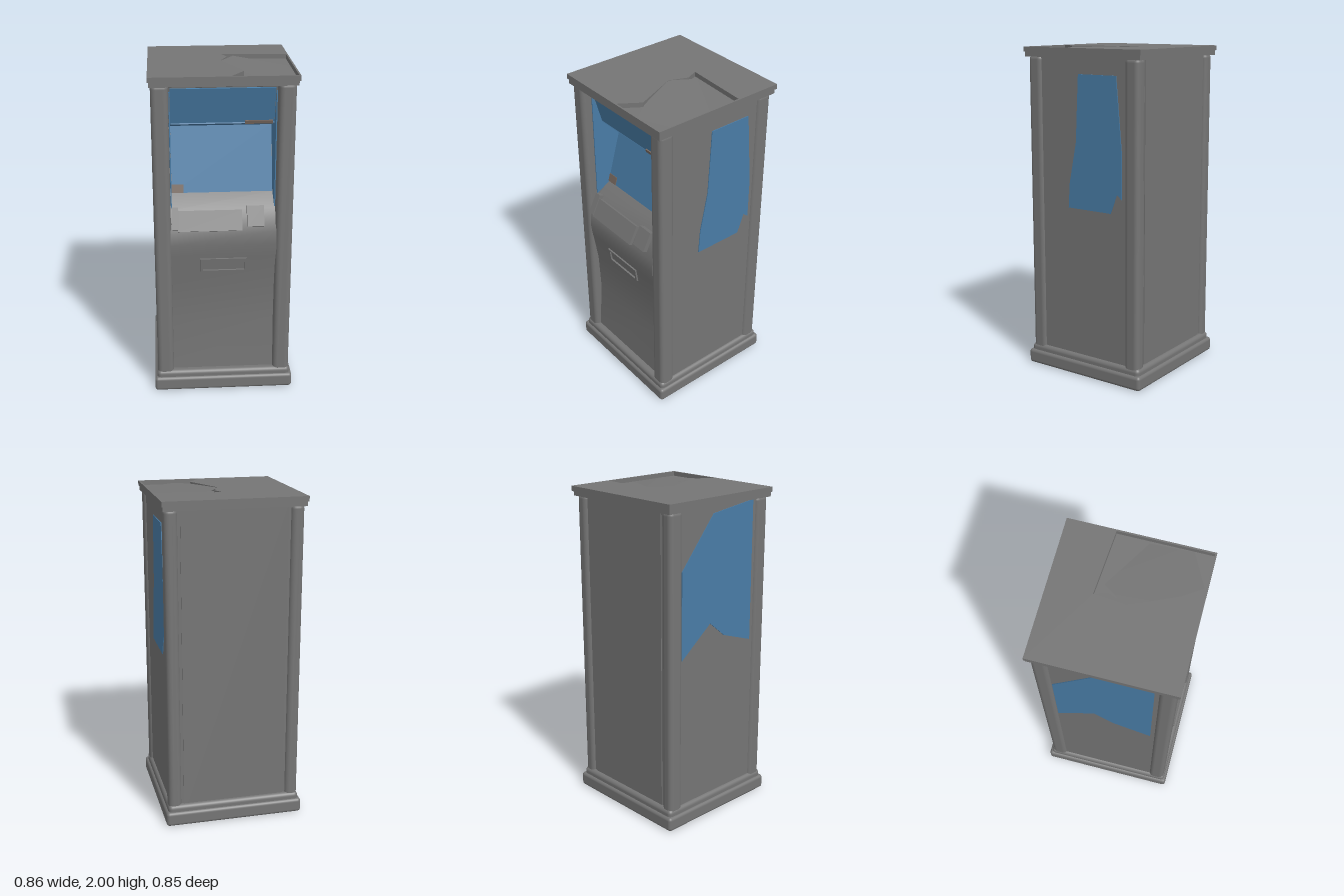
import * as THREE from 'three';
import { RoundedBoxGeometry } from 'three/addons/geometries/RoundedBoxGeometry.js';
import { toCreasedNormals } from 'three/addons/utils/BufferGeometryUtils.js';

const material = (name, color) => {
  const mat = new THREE.MeshStandardMaterial({ color, side: THREE.DoubleSide });
  mat.name = name;
  return mat;
};
const gray = material('cabinet gray', 0x757575);
const blue = material('screen blue', 0x497ca6);
const brown = material('trim brown', 0x77685f);

const outline = (pts) => pts.map(([a, b]) => new THREE.Vector2(a, b));

export function createModel() {
  const model = new THREE.Group();

  const add = (name, geo, mat, x = 0, y = 0, z = 0) => {
    const mesh = new THREE.Mesh(geo, mat);
    mesh.name = name;
    mesh.position.set(x, y, z);
    model.add(mesh);
    return mesh;
  };
  const rounded = (name, w, h, d, r, x, y, z) =>
    add(name, new RoundedBoxGeometry(w, h, d, 3, r), gray, x, y, z);

  // Outline in (z, y), extruded along x from x0 to x1, with gentle bends smoothed
  const sidePlate = (name, pts, x0, x1, mat) => {
    const geo = new THREE.ExtrudeGeometry(new THREE.Shape(outline(pts)), { depth: x1 - x0, bevelEnabled: false });
    geo.rotateY(-Math.PI / 2);
    return add(name, toCreasedNormals(geo, 0.45), mat, x1);
  };

  // Thin plate lying along the line from one (z, y) point to another
  const slopedPlate = (name, [z0, y0], [z1, y1], w, t, mat, x = 0) => {
    const len = Math.hypot(z1 - z0, y1 - y0);
    const mesh = add(name, new THREE.BoxGeometry(w, len, t), mat, x, (y0 + y1) / 2, (z0 + z1) / 2);
    mesh.rotation.x = Math.atan2(z1 - z0, y1 - y0);
    return mesh;
  };

  // Plinth
  rounded('base', 0.86, 0.09, 0.85, 0.02, 0, 0.045, 0);
  rounded('baseStep', 0.83, 0.07, 0.82, 0.025, 0, 0.095, 0);

  // Middle of the cabinet, with the stepped front profile
  const front = [
    [0.375, 0.05], [0.37, 0.12], [0.345, 0.45], [0.355, 0.7], [0.385, 0.9], [0.395, 0.98], [0.39, 1.06],
    [0.33, 1.18], [0.24, 1.26], [0.13, 1.65], [0.27, 1.7], [0.33, 1.92], [0.36, 1.95],
  ];
  sidePlate('cabinetCore', [[-0.385, 0.05], ...front, [-0.385, 1.95]], -0.315, 0.315, gray);

  // Side panels and corner posts
  for (const s of [-1, 1]) {
    add('sidePanel', new THREE.BoxGeometry(0.085, 1.9, 0.74), gray, s * 0.3525, 1, -0.01);
    rounded('frontPost', 0.1, 1.92, 0.1, 0.03, s * 0.36, 0.995, 0.352);
    rounded('backPost', 0.08, 1.92, 0.1, 0.03, s * 0.37, 0.995, -0.35);
  }

  // Screens inside the front opening
  slopedPlate('mainScreen', [0.246, 1.26], [0.136, 1.65], 0.6, 0.008, blue);
  slopedPlate('screenHood', [0.135, 1.645], [0.275, 1.695], 0.6, 0.008, blue);
  slopedPlate('upperScreen', [0.275, 1.7], [0.335, 1.915], 0.6, 0.008, blue);
  const cheek = [[0.24, 1.26], [0.34, 1.2], [0.34, 1.9], [0.27, 1.7], [0.13, 1.65]];
  sidePlate('cheekLeft', cheek, 0.302, 0.308, blue);
  sidePlate('cheekRight', cheek, -0.308, -0.302, blue);

  // Small trim pieces around the screens
  slopedPlate('hoodTrim', [0.28, 1.69], [0.285, 1.71], 0.16, 0.008, brown, 0.21);
  slopedPlate('screenTrim', [0.25, 1.262], [0.236, 1.31], 0.07, 0.009, brown, -0.265);

  // Raised controls on the sloping console
  slopedPlate('consolePad', [0.395, 1.07], [0.34, 1.18], 0.38, 0.025, gray, -0.08);
  slopedPlate('consoleGrip', [0.39, 1.08], [0.33, 1.2], 0.04, 0.04, gray, -0.285);
  slopedPlate('consoleGrip', [0.385, 1.09], [0.33, 1.2], 0.1, 0.04, gray, 0.19);

  // Slot surround on the lower front
  const slot = new THREE.Shape(outline([[-0.14, -0.045], [0.14, -0.045], [0.14, 0.045], [-0.14, 0.045]]));
  slot.holes.push(new THREE.Path(outline([[-0.125, -0.035], [-0.125, 0.035], [0.125, 0.035], [0.125, -0.035]])));
  const slotMesh = add('slotFrame', new THREE.ExtrudeGeometry(slot, { depth: 0.015, bevelEnabled: false }),
    gray, 0, 0.845, 0.372);
  slotMesh.rotation.x = 0.13;

  // Painted windows on the two sides
  sidePlate('leftWindow', [
    [0.03, 1.85], [-0.24, 1.85], [-0.28, 1.4], [-0.28, 1.14], [-0.245, 1.17], [-0.22, 1.1],
    [-0.2, 1.05], [0.11, 1.05], [0.1, 1.2], [0.05, 1.45],
  ], 0.394, 0.4, blue);
  sidePlate('rightWindow', [
    [-0.3, 1.07], [-0.3, 1.6], [-0.05, 1.9], [0.28, 1.94], [0.28, 1.07], [0.05, 1.15], [-0.07, 1.25],
  ], -0.4, -0.394, blue);

  // Roof cap with a sunken dent in one corner
  const cap = new THREE.Shape(outline([[-0.425, -0.42], [0.425, -0.425], [0.425, 0.42], [-0.425, 0.42]]));
  cap.holes.push(new THREE.Path(outline([
    [0.02, -0.165], [0.415, -0.14], [0.415, 0.41], [0.04, 0.41], [0.12, 0.29], [0.005, 0.02], [0.05, -0.09],
  ])));
  const capGeo = new THREE.ExtrudeGeometry(cap, { depth: 0.03, bevelEnabled: false });
  capGeo.rotateX(Math.PI / 2);
  add('roofCap', capGeo, gray, 0, 2, 0);
  add('dentFloor', new THREE.BoxGeometry(0.835, 0.03, 0.83), gray, 0, 1.957, 0);

  // Bent flap falling into the dent
  const flap = new THREE.BufferGeometry();
  flap.setAttribute('position', new THREE.Float32BufferAttribute([
    0.09, 1.998, -0.12, 0, 1.998, 0.02, 0.13, 1.99, 0.29,
    0.21, 1.98, 0.4, 0.41, 1.974, 0.3, 0.4, 1.974, 0.05,
  ], 3));
  flap.setIndex([0, 1, 2, 0, 2, 3, 0, 3, 4, 0, 4, 5]);
  flap.computeVertexNormals();
  add('roofFlap', flap, gray);

  return model;
}
